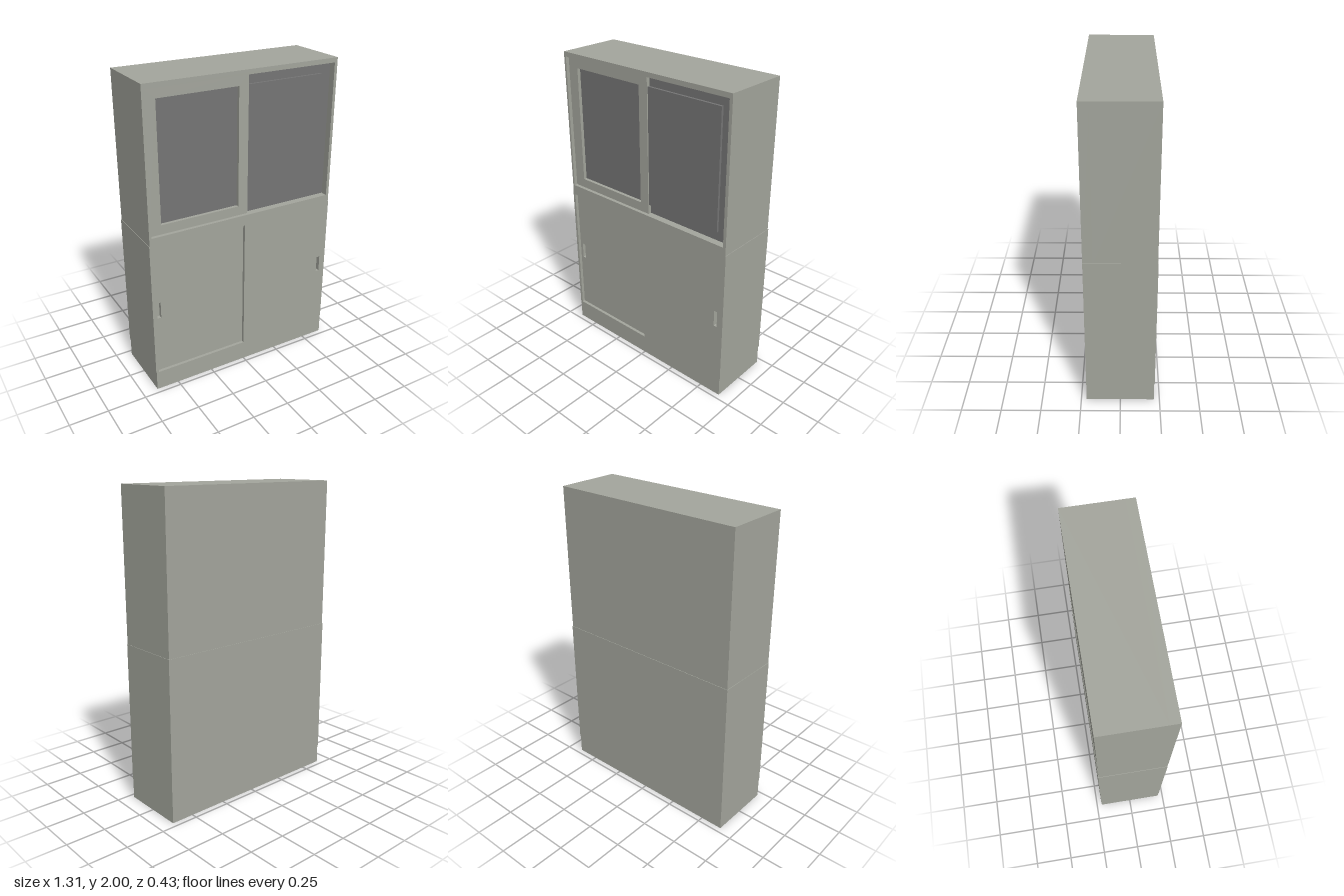
import * as THREE from 'three';

const FRONT = 0.216;

export function createModel() {
  const cabinet = new THREE.Group();
  cabinet.name = 'slidingDoorCabinet';
  const paint = new THREE.MeshStandardMaterial({ color: 0xa3a59c });
  paint.name = 'greyPaint';
  const glass = new THREE.MeshStandardMaterial({ color: 0x757575 });
  glass.name = 'darkGlass';

  // Box given by its limits on each axis
  function box(name, mat, x0, x1, y0, y1, z0, z1) {
    const mesh = new THREE.Mesh(new THREE.BoxGeometry(x1 - x0, y1 - y0, z1 - z0), mat);
    mesh.position.set((x0 + x1) / 2, (y0 + y1) / 2, (z0 + z1) / 2);
    mesh.name = name;
    cabinet.add(mesh);
  }

  function rect(path, [x0, x1, y0, y1]) {
    path.moveTo(x0, y0);
    path.lineTo(x1, y0);
    path.lineTo(x1, y1);
    path.lineTo(x0, y1);
    path.closePath();
    return path;
  }

  // Flat panel with rectangular openings, front face at z1
  function panel(name, outline, holes, z0, z1) {
    const shape = rect(new THREE.Shape(), outline);
    holes.forEach((h) => shape.holes.push(rect(new THREE.Path(), h)));
    const geo = new THREE.ExtrudeGeometry(shape, { depth: z1 - z0, bevelEnabled: false });
    const mesh = new THREE.Mesh(geo, paint);
    mesh.position.z = z0;
    mesh.name = name;
    cabinet.add(mesh);
  }

  const leftSlot = [-0.615, -0.59, 0.52, 0.63];
  const rightSlot = [0.587, 0.61, 0.52, 0.63];
  const lowerOpening = [-0.635, 0, 0.13, 1.02];
  const upperOpening = [-0.635, 0.63, 1.09, 1.97];

  // Carcass: plinth, lower cabinet and upper cabinet
  box('plinth', paint, -0.65, 0.65, 0, 0.13, -0.214, FRONT);
  box('lowerBody', paint, -0.653, 0.653, 0.13, 1.04, -0.217, FRONT - 0.045);
  box('upperBody', paint, -0.65, 0.65, 1.04, 2, -0.214, FRONT - 0.06);

  // Lower front: recessed sliding door and flush door with finger slots
  panel('lowerFront', [-0.653, 0.653, 0.13, 1.04], [lowerOpening, rightSlot], FRONT - 0.045, FRONT);
  panel('lowerSlidingDoor', lowerOpening, [leftSlot], FRONT - 0.045, FRONT - 0.02);

  // Upper front: face frame, framed door and dark panes
  panel('upperFaceFrame', [-0.65, 0.65, 1.04, 2], [upperOpening], FRONT - 0.06, FRONT);
  panel('upperSlidingDoorFrame', [-0.635, 0.03, 1.09, 1.97], [[-0.56, -0.035, 1.15, 1.905]], FRONT - 0.045, FRONT - 0.023);
  box('backPane', glass, -0.635, 0.63, 1.09, 1.97, FRONT - 0.06, FRONT - 0.045);
  box('rightDoorPane', glass, 0.03, 0.56, 1.15, 1.905, FRONT - 0.045, FRONT - 0.03);

  return cabinet;
}
